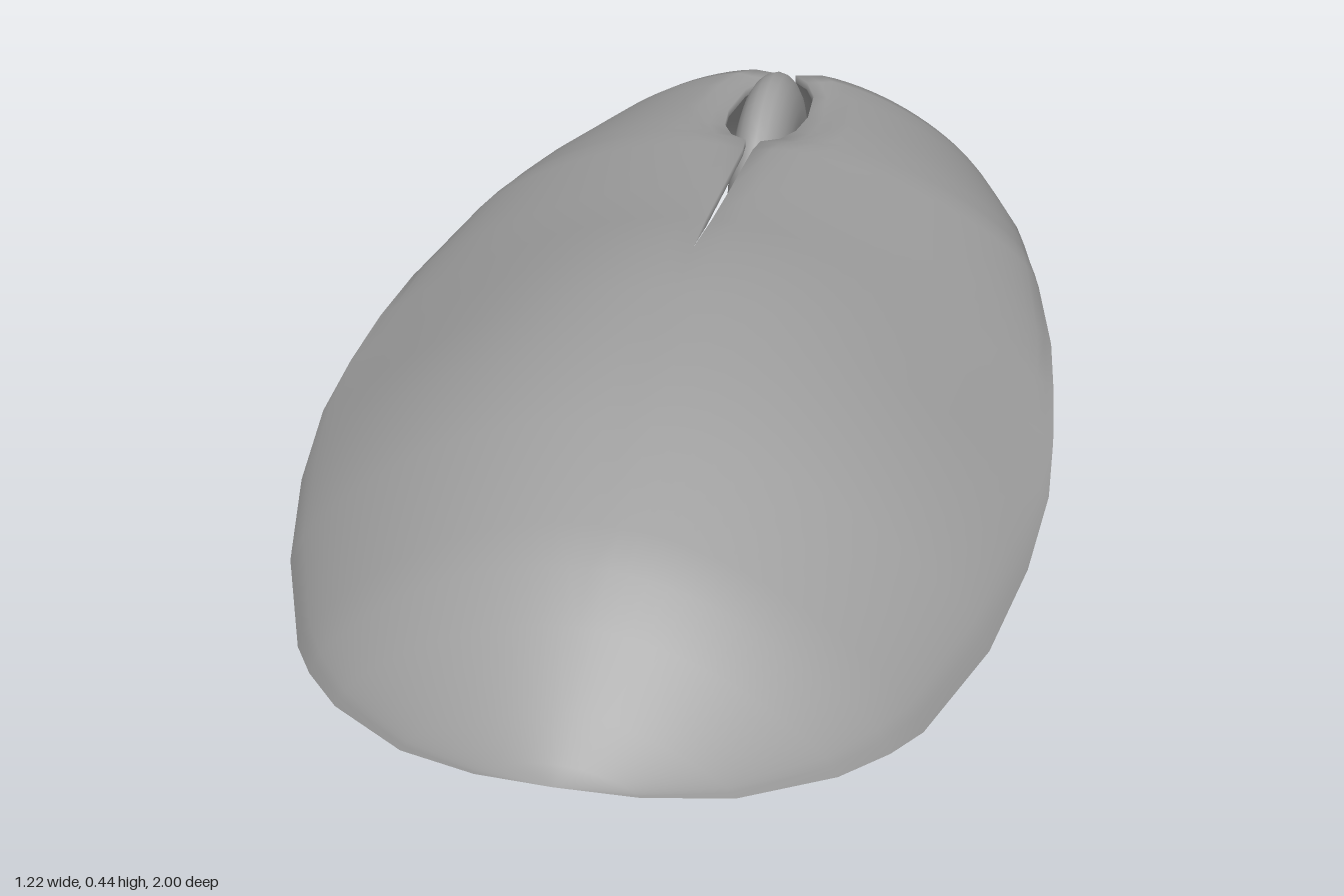
import * as THREE from 'three';
import { mergeGeometries, mergeVertices } from 'three/addons/utils/BufferGeometryUtils.js';

// Cross-sections: [z, half width, rim height, crest height, half gap at the centre]
const SECTIONS = [
  [-1, 0.10, 0.10, 0.10, 0.012], [-0.985, 0.16, 0.10, 0.125, 0.012],
  [-0.96, 0.25, 0.102, 0.16, 0.012], [-0.90, 0.35, 0.108, 0.24, 0.011],
  [-0.845, 0.386, 0.114, 0.315, 0.01], [-0.82, 0.40, 0.117, 0.345, 0.013],
  [-0.785, 0.415, 0.122, 0.355, 0.042], [-0.72, 0.44, 0.131, 0.363, 0.066],
  [-0.60, 0.485, 0.145, 0.378, 0.075], [-0.52, 0.506, 0.154, 0.387, 0.066],
  [-0.475, 0.516, 0.159, 0.39, 0.045], [-0.45, 0.523, 0.162, 0.393, 0.014],
  [-0.40, 0.535, 0.165, 0.396, 0.009], [-0.20, 0.575, 0.17, 0.409, 0.007],
  [-0.06, 0.592, 0.165, 0.427, 0.005], [0.07, 0.604, 0.15, 0.444, 0],
  [0.20, 0.61, 0.13, 0.44, 0], [0.36, 0.594, 0.10, 0.432, 0],
  [0.53, 0.555, 0.066, 0.405, 0], [0.71, 0.48, 0.045, 0.345, 0],
  [0.77, 0.44, 0.048, 0.315, 0], [0.84, 0.375, 0.053, 0.262, 0],
  [0.93, 0.245, 0.068, 0.18, 0], [0.98, 0.12, 0.09, 0.128, 0], [1, 0, 0.105, 0.105, 0],
];
const COLUMNS = 20;

// Fullness of the arch: flatter over the buttons and the rounded rear
function fullness(z) {
  const { smoothstep } = THREE.MathUtils;
  return 1 - 0.37 * (1 - smoothstep(z, -0.5, 0.05)) - 0.28 * smoothstep(z, 0.1, 0.45);
}

// One half of the shell, with a short lip turned down along the centre gap
function halfShell(side) {
  const positions = [], index = [];
  const stride = COLUMNS + 2;
  SECTIONS.forEach(([z, w, rim, crest, gap], i) => {
    for (let j = 0; j < stride; j++) {
      const k = Math.max(0, j - 1) / COLUMNS;
      const u = 0.4 * k + 0.6 * Math.sin(k * Math.PI / 2);
      const x = gap + (w - gap) * u;
      const arch = Math.max(0, Math.cos((w ? x / w : 1) * Math.PI / 2)) ** fullness(z);
      // Shallow recess around the wheel opening
      const r = Math.hypot(x / 0.135, (z + 0.61) / 0.25);
      const dip = 0.015 * (1 - THREE.MathUtils.smoothstep(r, 0.75, 1));
      const lip = j === 0 && gap > 0 ? 0.015 : 0;
      positions.push(side * x, rim + (crest - rim) * arch - dip - lip, z);
      if (i === 0 || j === 0) continue;
      const d = i * stride + j, c = d - 1, b = d - stride, a = b - 1;
      if (side > 0) index.push(a, c, b, b, c, d);
      else index.push(a, b, c, b, d, c);
    }
  });
  const g = new THREE.BufferGeometry();
  g.setAttribute('position', new THREE.Float32BufferAttribute(positions, 3));
  g.setIndex(index);
  return g;
}

export function createModel() {
  const model = new THREE.Group();
  model.name = 'computerMouse';
  const grey = new THREE.MeshStandardMaterial({ color: 0xa0a0a0, side: THREE.DoubleSide });
  grey.name = 'grey plastic';

  // Open shell, welded along the centre behind the gap
  const shellGeometry = mergeVertices(mergeGeometries([halfShell(1), halfShell(-1)]), 1e-5);
  shellGeometry.computeVertexNormals();
  const shell = new THREE.Mesh(shellGeometry, grey);
  shell.name = 'shell';
  model.add(shell);

  // Scroll wheel: a fat ring, flattened sideways
  const wheelGeometry = new THREE.TorusGeometry(0.117, 0.091, 20, 40);
  wheelGeometry.scale(1, 1, 0.054 / 0.091);
  wheelGeometry.rotateY(Math.PI / 2);
  const wheel = new THREE.Mesh(wheelGeometry, grey);
  wheel.name = 'scrollWheel';
  wheel.position.set(0, 0.208, -0.615);
  model.add(wheel);

  return model;
}
